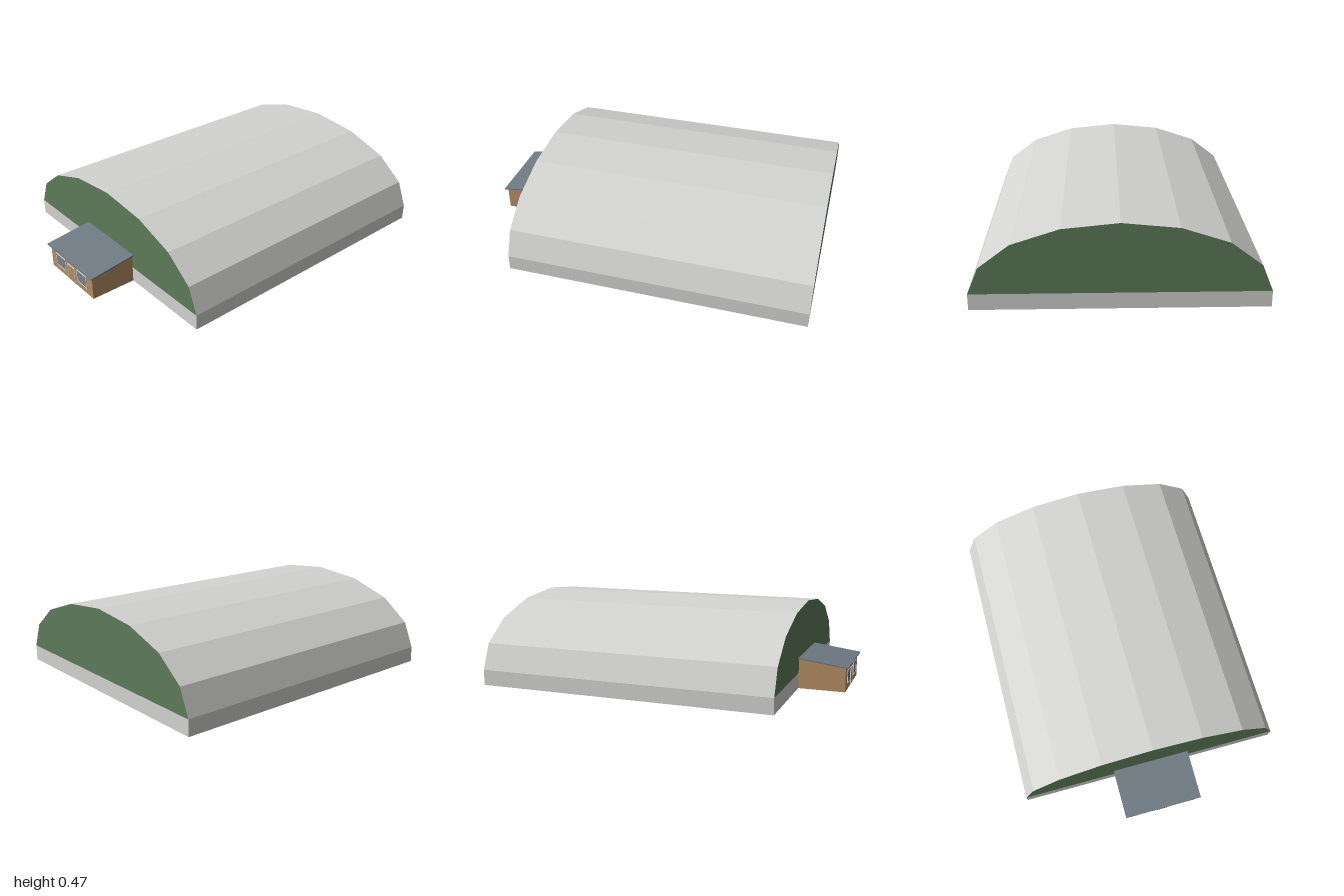
import * as THREE from 'three';

const mat = (name, color, side = THREE.FrontSide) => {
  const m = new THREE.MeshStandardMaterial({ color, side });
  m.name = name;
  return m;
};

// Flat-faceted open sheet: a profile of [x, y] points swept from z0 to z1
function sweep(profile, z0, z1) {
  const pos = [];
  for (let i = 0; i < profile.length - 1; i++) {
    const [ax, ay] = profile[i], [bx, by] = profile[i + 1];
    pos.push(ax, ay, z0, bx, by, z0, bx, by, z1, ax, ay, z0, bx, by, z1, ax, ay, z1);
  }
  const g = new THREE.BufferGeometry();
  g.setAttribute('position', new THREE.Float32BufferAttribute(pos, 3));
  g.computeVertexNormals();
  return g;
}

const shapeOf = (pts) => new THREE.Shape(pts.map(([x, y]) => new THREE.Vector2(x, y)));

export function createModel() {
  const grey = mat('pale grey cladding', 0xd3d3d1, THREE.DoubleSide);
  const green = mat('green gable', 0x5e7b5a, THREE.DoubleSide);
  const timber = mat('tan timber', 0xb58e65, THREE.DoubleSide);
  const slate = mat('slate roof', 0x6f7a84);
  const glass = mat('window glass', 0x78828c);
  const trim = mat('pale trim', 0xdcdcda);

  const model = new THREE.Group();
  model.name = 'archedHall';
  const add = (name, geometry, material, parent = model) => {
    const mesh = new THREE.Mesh(geometry, material);
    mesh.name = name;
    parent.add(mesh);
    return mesh;
  };

  // Hall: faceted arch on a low plinth, open underneath
  const W = 0.775, H = 0.09, BACK = -1, FRONT = 0.72;
  const half = [[W, H], [0.715, 0.236], [0.55, 0.362], [0.298, 0.445]];
  const arch = [...half, [0, 0.475], ...half.map(([x, y]) => [-x, y]).reverse()];
  add('archedRoof', sweep(arch, FRONT, BACK), grey);
  add('floor', sweep([[-W, H], [W, H]], FRONT, BACK), grey);
  for (const s of [-1, 1]) {
    add('plinthSide', sweep([[s * W, 0], [s * W, H]], FRONT, BACK), grey);
  }
  for (const [name, z, turn] of [['front', FRONT, 0], ['back', BACK, Math.PI]]) {
    const gable = add(name + 'Gable', new THREE.ShapeGeometry(shapeOf(arch)), green);
    const plinth = add(name + 'Plinth', new THREE.PlaneGeometry(2 * W, H), grey);
    gable.position.z = z;
    plinth.position.set(0, H / 2, z);
    gable.rotation.y = plinth.rotation.y = turn;
  }

  // Entrance hut: profiles drawn in (z, y), then turned to run along x
  const hut = new THREE.Group();
  hut.name = 'entranceHut';
  model.add(hut);
  const HW = 0.214, HZ = 0.985;
  const wall = [[HZ, 0], [HZ, 0.138], [FRONT, 0.171]];
  const turned = (mesh, x = 0) => {
    mesh.rotation.y = -Math.PI / 2;
    mesh.position.x = x;
  };
  turned(add('hutFrontAndCeiling', sweep(wall, -HW, HW), timber, hut));
  for (const s of [-1, 1]) {
    turned(add('hutSide', new THREE.ShapeGeometry(shapeOf([...wall, [FRONT, 0]])), timber, hut), s * HW);
  }
  const roof = shapeOf([[FRONT, 0.172], [1, 0.137], [1, 0.144], [FRONT, 0.18]]);
  turned(add('hutRoof', new THREE.ExtrudeGeometry(roof, { depth: 0.46, bevelEnabled: false }), slate, hut), 0.23);

  // Thin plates on the hut front
  const plate = (name, x0, x1, y0, y1, depth, material) => {
    const p = add(name, new THREE.BoxGeometry(x1 - x0, y1 - y0, depth), material, hut);
    p.position.set((x0 + x1) / 2, (y0 + y1) / 2, HZ + depth / 2);
  };
  const T = 0.004;
  const frame = (name, x0, x1, y0, y1, sill) => {
    plate(name + 'Jamb', x0, x0 + T, y0, y1, T, trim);
    plate(name + 'Jamb', x1 - T, x1, y0, y1, T, trim);
    plate(name + 'Head', x0 + T, x1 - T, y1 - T, y1, T, trim);
    if (sill) plate(name + 'Sill', x0 + T, x1 - T, y0, y0 + T, T, trim);
  };
  for (const x of [-0.108, 0.108]) {
    plate('windowPane', x - 0.046, x + 0.046, 0.039, 0.111, 0.002, glass);
    frame('window', x - 0.049, x + 0.049, 0.036, 0.114, true);
  }
  plate('door', -0.032, 0.032, 0.001, 0.1, 0.002, timber);
  frame('door', -0.036, 0.036, 0.001, 0.104, false);

  return model;
}
